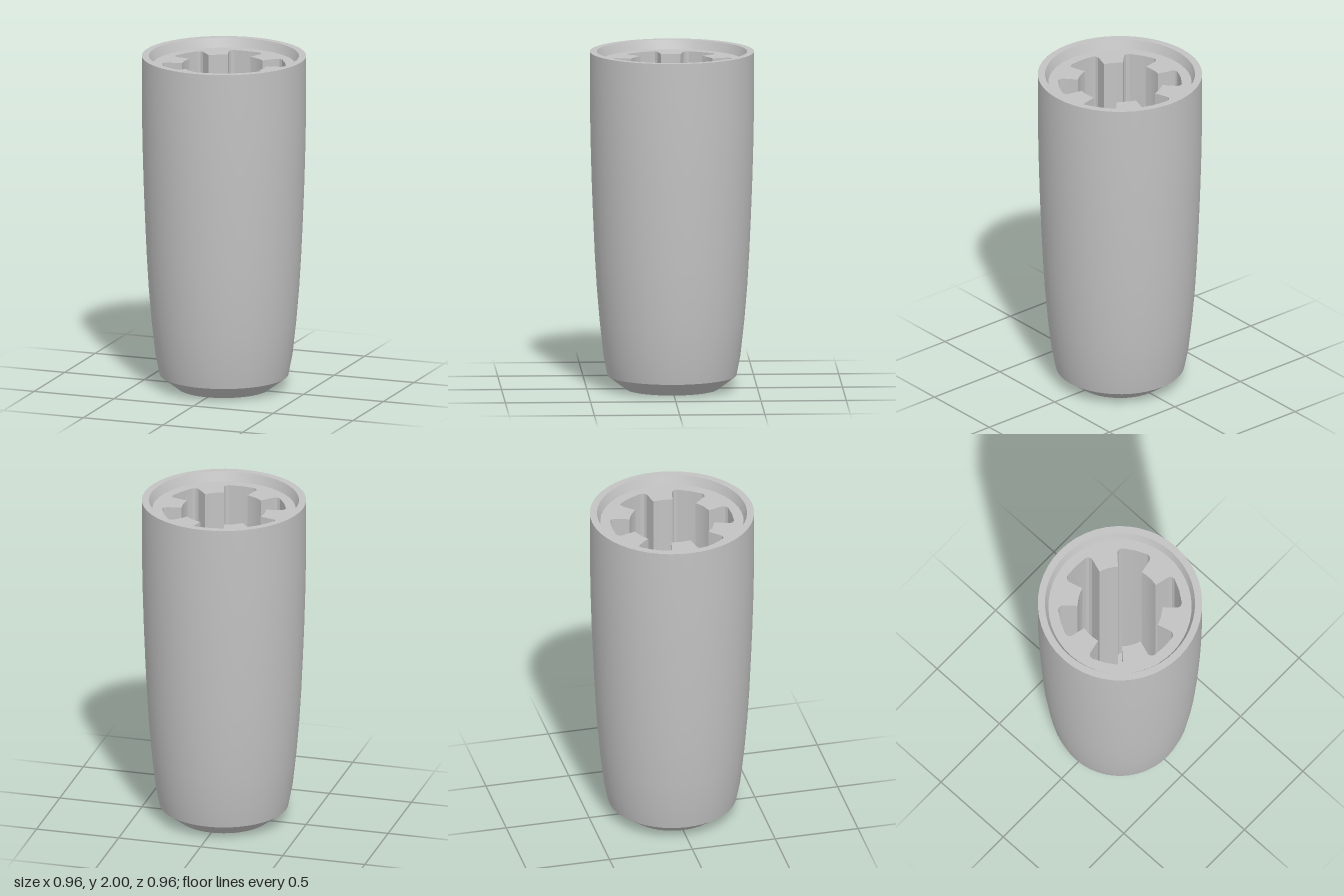
import * as THREE from 'three';
import { toCreasedNormals } from 'three/addons/utils/BufferGeometryUtils.js';

const BORE = 0.2486, SLOT_FLOOR = 0.16, DECK = 1.945, SLOTS = 6;
const V = (x, y) => new THREE.Vector2(x, y);

// Half of one dovetail slot: distance from the axis, sideways offset
const halfSlot = [[0.238, 0.072], [0.305, 0.093], [0.325, 0.099], [0.343, 0.094], [0.355, 0.078]];

// Slot outline turned to its place around the axis
function slotPoints(i) {
  const angle = THREE.MathUtils.degToRad(29 + i * 60);
  const local = [
    ...halfSlot.map(([r, s]) => V(r, -s)),
    V(0.361, 0),
    ...halfSlot.map(([r, s]) => V(r, s)).reverse(),
  ];
  return local.map((p) => p.rotateAround(V(0, 0), angle));
}

// Complete bore outline: slots joined by arcs of the bore
function boreOutline() {
  const points = [];
  const half = Math.atan2(0.072, 0.238);
  for (let i = 0; i < SLOTS; i++) {
    points.push(...slotPoints(i));
    const start = THREE.MathUtils.degToRad(29 + i * 60) + half;
    const sweep = Math.PI / 3 - 2 * half;
    for (let k = 1; k < 4; k++) {
      const a = start + (sweep * k) / 4;
      points.push(V(BORE * Math.cos(a), BORE * Math.sin(a)));
    }
  }
  return points;
}

// Upright wall along a closed outline, facing the axis
function wallGeometry(outline, y0, y1) {
  const pos = [];
  outline.forEach((a, i) => {
    const b = outline[(i + 1) % outline.length];
    pos.push(b.x, y0, -b.y, a.x, y0, -a.y, a.x, y1, -a.y);
    pos.push(b.x, y0, -b.y, a.x, y1, -a.y, b.x, y1, -b.y);
  });
  const geo = new THREE.BufferGeometry();
  geo.setAttribute('position', new THREE.Float32BufferAttribute(pos, 3));
  return toCreasedNormals(geo, 0.55);
}

// Flat upward-facing plate at a given height
function plate(shape, y) {
  return new THREE.ShapeGeometry(shape, 48).rotateX(-Math.PI / 2).translate(0, y, 0);
}

export function createModel() {
  const group = new THREE.Group();
  const grey = new THREE.MeshStandardMaterial({ color: 0xc2c2c2 });
  grey.name = 'light grey';
  const add = (name, geo) => {
    const mesh = new THREE.Mesh(geo, grey);
    mesh.name = name;
    group.add(mesh);
  };

  // Lower bore, chamfered foot, tapered side, top rim and recess wall
  const profile = [
    [BORE, SLOT_FLOOR], [BORE, 0.02], [0.272, 0], [0.378, 0.08], [0.402, 0.2],
    [0.424, 0.4], [0.441, 0.6], [0.453, 0.8], [0.462, 1], [0.47, 1.2], [0.476, 1.4],
    [0.481, 1.65], [0.482, 2], [0.44, 2], [0.42, DECK],
  ].map(([r, y]) => V(r, y));
  add('shell', toCreasedNormals(new THREE.LatheGeometry(profile, 48), 0.4));

  // Recessed deck pierced by the slotted bore
  const outline = boreOutline();
  const deck = new THREE.Shape().absarc(0, 0, 0.42, 0, Math.PI * 2);
  deck.holes.push(new THREE.Path(outline));
  add('deck', plate(deck, DECK));

  // Ribbed inside of the bore
  add('boreWall', wallGeometry(outline, SLOT_FLOOR, DECK));

  // Closed lower end of each slot
  for (let i = 0; i < SLOTS; i++) {
    add('slotFloor' + (i + 1), plate(new THREE.Shape(slotPoints(i)), SLOT_FLOOR));
  }
  return group;
}
